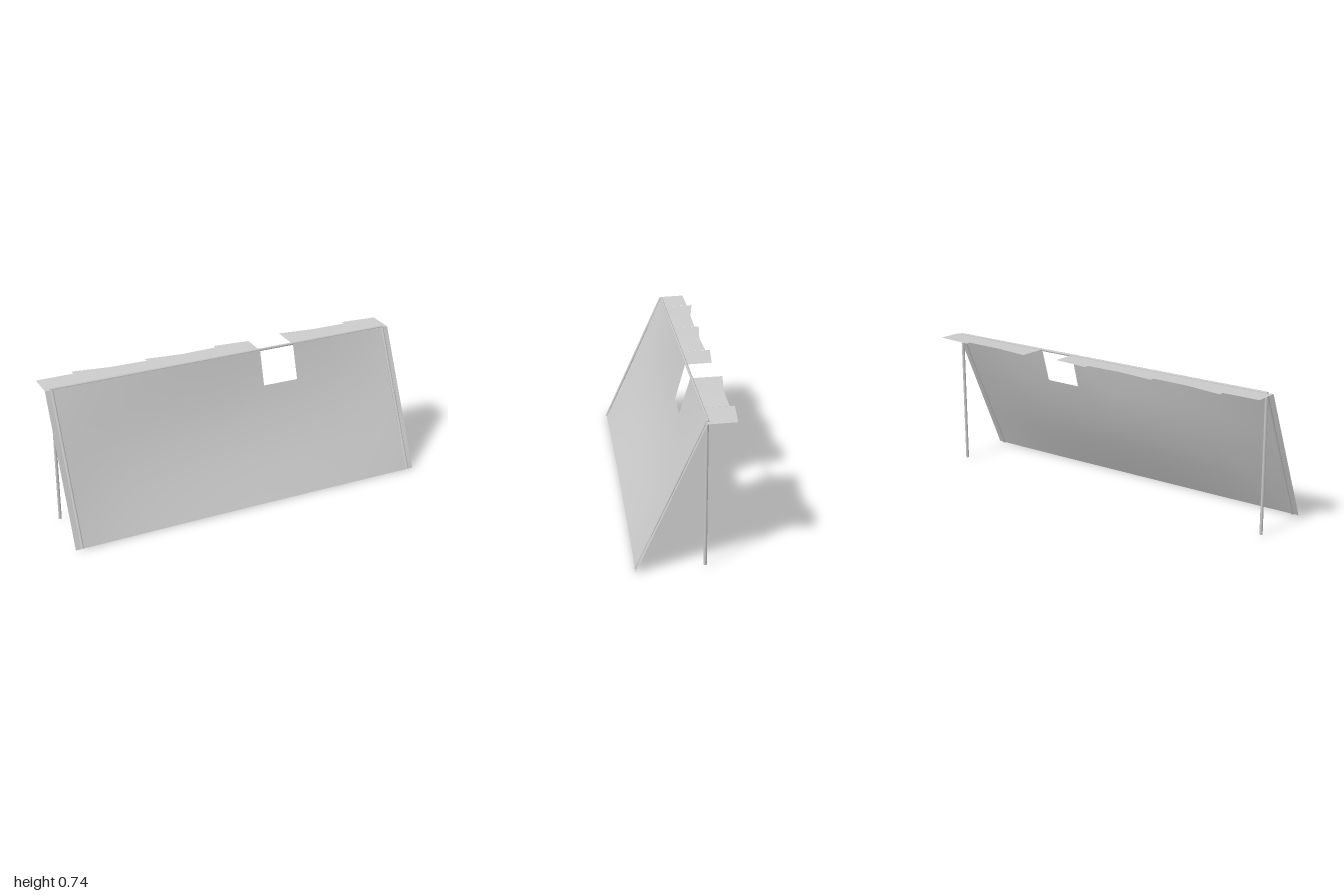
import * as THREE from 'three';

const COLS = 10, ROWS = 4, GAP = 6; // GAP: column of cells left out for the opening

// Surface from quads, given as four corners anticlockwise from the visible side
function quadSurface(nu, nv, point, keep) {
  const pos = [], index = [];
  for (let j = 0; j <= nv; j++) for (let i = 0; i <= nu; i++) pos.push(...point(i / nu, j / nv));
  for (let j = 0; j < nv; j++) for (let i = 0; i < nu; i++) {
    if (!keep(i, j)) continue;
    const a = j * (nu + 1) + i, b = a + 1, c = a + nu + 1, d = c + 1;
    index.push(a, b, d, a, d, c);
  }
  const g = new THREE.BufferGeometry();
  g.setAttribute('position', new THREE.Float32BufferAttribute(pos, 3));
  g.setIndex(index);
  g.computeVertexNormals();
  return g;
}

// Six-sided pole between two points
function pole(name, a, b, radius, material) {
  const from = new THREE.Vector3(...a), to = new THREE.Vector3(...b);
  const dir = to.clone().sub(from);
  const mesh = new THREE.Mesh(new THREE.CylinderGeometry(radius, radius, dir.length(), 6), material);
  mesh.position.copy(from).add(to).multiplyScalar(0.5);
  mesh.quaternion.setFromUnitVectors(new THREE.Vector3(0, 1, 0), dir.normalize());
  mesh.name = name;
  return mesh;
}

export function createModel() {
  const group = new THREE.Group();
  group.name = 'leanToShelter';
  const grey = new THREE.MeshStandardMaterial({ color: 0xcccccc, side: THREE.DoubleSide });
  grey.name = 'light grey';

  // Sloping sheet, sagging backwards between the poles, with a square opening at the top
  const sheet = new THREE.Mesh(quadSurface(COLS, ROWS, (u, v) => {
    const x = 2 * u - 1;
    const across = Math.pow(Math.max(0, Math.cos(x * Math.PI / 2)), 0.7);
    const sag = across * (0.046 * Math.sin(Math.PI * v) + 0.005 * (1 - v));
    return [x, 0.002 + 0.736 * v, 0.243 - 0.331 * v - sag];
  }, (i, j) => !(i === GAP && j === ROWS - 1)), grey);
  sheet.name = 'slopingSheet';
  group.add(sheet);

  // Flap folded back over the ridge: ragged strips with stepped ends
  // Each strip: start x, then depth of its rear edge at every 0.2 along x
  const strips = [
    [-1, [0.226, 0.226]],
    [-0.8, [0.254, 0.222, 0.216]],
    [-0.4, [0.241, 0.217, 0.221]],
    [0, [0.245, 0.225]],
    [0.4, [0.249, 0.224, 0.22]],
    [0.8, [0.245, 0.228]],
  ];
  const flap = new THREE.Group();
  flap.name = 'rearFlap';
  for (const [x0, depth] of strips) {
    const n = depth.length - 1;
    const g = quadSurface(n, 1, (u, v) => {
      const z = v ? -depth[Math.round(u * n)] : -0.088;
      return [x0 + 0.2 * n * u, 0.738 + 0.005 * v, z];
    }, () => true);
    const strip = new THREE.Mesh(g, grey);
    strip.name = 'flapStrip';
    flap.add(strip);
  }
  group.add(flap);

  // Frame: ridge pole, and a sloping pole and upright post at each end
  group.add(pole('ridgePole', [-0.972, 0.739, -0.095], [0.972, 0.739, -0.095], 0.007, grey));
  for (const [side, x] of [['left', 0.965], ['right', -0.965]]) {
    group.add(pole(side + 'SlopingPole', [x, 0.0035, 0.242], [x, 0.738, -0.088], 0.008, grey));
    group.add(pole(side + 'Post', [x, 0.005, -0.091], [x, 0.736, -0.091], 0.008, grey));
  }
  return group;
}
